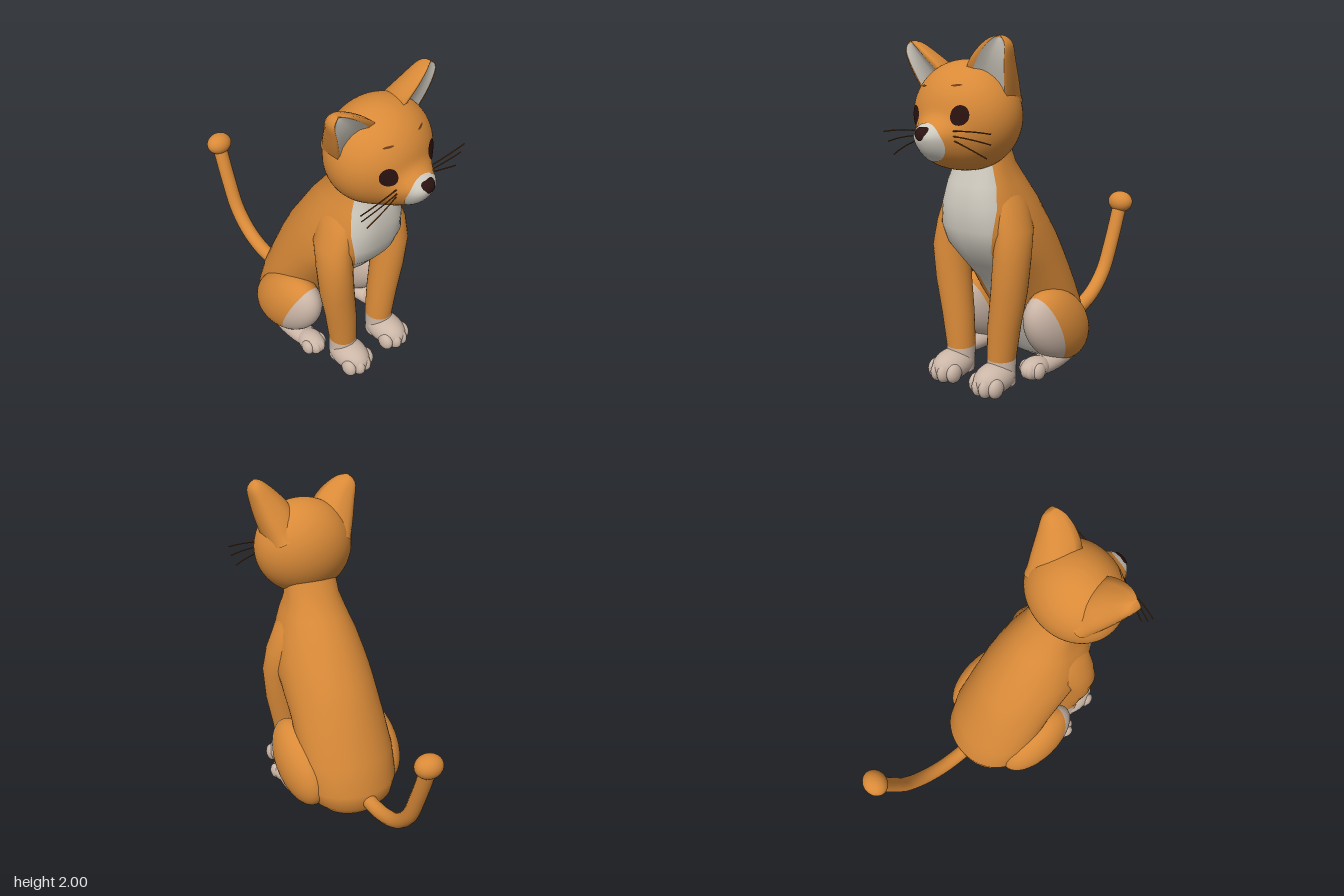
import * as THREE from 'three';

const mat = (name, color, side = THREE.FrontSide) => new THREE.MeshStandardMaterial({ name, color, side });
const fur = mat('orange fur', 0xd98a38, THREE.DoubleSide);
const bib = mat('pale bib', 0xcfcabf, THREE.DoubleSide);
const pawFur = mat('beige paw', 0xcbb6a7);
const dark = mat('dark brown', 0x2a1210, THREE.DoubleSide);
const whiskerMat = mat('whisker brown', 0x6b3c16);

function add(parent, name, geometry, material, x = 0, y = 0, z = 0) {
  const mesh = new THREE.Mesh(geometry, material);
  mesh.name = name;
  mesh.position.set(x, y, z);
  parent.add(mesh);
  return mesh;
}

// Skin through rows of [x, y, z] points; rows go up, points go anticlockwise.
function loft(rows, closed = false) {
  const n = rows[0].length, index = [];
  for (let r = 0; r < rows.length - 1; r++) {
    for (let j = 0; j < (closed ? n : n - 1); j++) {
      const k = (j + 1) % n, a = r * n, b = a + n;
      index.push(a + j, a + k, b + k, a + j, b + k, b + j);
    }
  }
  const g = new THREE.BufferGeometry();
  g.setAttribute('position', new THREE.Float32BufferAttribute(rows.flat(2), 3));
  g.setIndex(index);
  g.computeVertexNormals();
  return g;
}

const power = (v, p) => Math.sign(v) * Math.abs(v) ** p;

// Closed elliptical ring in a horizontal plane, starting at the front
function ring(x, y, z, rx, rz) {
  return Array.from({ length: 28 }, (_, i) => {
    const a = i / 28 * Math.PI * 2;
    return [x + rx * Math.sin(a), y, z + rz * Math.cos(a)];
  });
}

function ellipsoid(rx, ry, rz, w = 24, h = 16) {
  return new THREE.SphereGeometry(1, w, h).scale(rx, ry, rz);
}

// Torso: height, front z, back z, half width, half width of the bib
function buildTorso(g) {
  const rows = [
    [0.06, 0.12, -0.21, 0.20, 0.12], [0.12, 0.17, -0.255, 0.26, 0.11], [0.22, 0.22, -0.27, 0.295, 0.10],
    [0.4, 0.3, -0.21, 0.305, 0.10], [0.6, 0.43, -0.13, 0.295, 0.10], [0.72, 0.54, -0.08, 0.29, 0.12],
    [0.84, 0.63, -0.02, 0.285, 0.155], [0.95, 0.665, 0.05, 0.27, 0.185], [1.08, 0.67, 0.13, 0.24, 0.198],
    [1.2, 0.645, 0.22, 0.2, 0.175], [1.3, 0.6, 0.3, 0.17, 0.14], [1.42, 0.58, 0.36, 0.16, 0.11],
  ];
  const part = (from, to, n) => loft(rows.map(([y, front, back, w, bw]) => {
    // The chest is squarer than the back
    const p = 1 - 0.28 * THREE.MathUtils.smoothstep(y, 0.6, 1);
    const edge = Math.asin((bw / w) ** (1 / p)), a0 = from(edge), a1 = to(edge);
    return Array.from({ length: n + 1 }, (_, i) => {
      const a = a0 + (a1 - a0) * i / n, q = Math.cos(a) > 0 ? p : 1;
      return [w * power(Math.sin(a), q), y, (front + back) / 2 + (front - back) / 2 * power(Math.cos(a), q)];
    });
  }));
  add(g, 'torso', part(a => a, a => Math.PI * 2 - a, 48), fur);
  add(g, 'chestBib', part(a => -a, a => a, 18), bib);
  add(g, 'underside', loft([
    ring(0, 0.012, -0.04, 0.001, 0.001), ring(0, 0.02, -0.04, 0.12, 0.1), ring(0, 0.06, -0.045, 0.2, 0.165),
  ], true), pawFur);
}

function buildToes(g, x, y, z, spread, r) {
  for (let i = 0; i < 4; i++) {
    const t = i - 1.5;
    add(g, 'toe', ellipsoid(r, r * 1.6, r * 1.5, 14, 10), pawFur, x + t * spread, y, z - t * t * 0.014);
  }
}

function buildFrontLeg(g, s) {
  const leg = (list) => loft(list.map(([y, x, z, rx, rz]) => ring(s * x, y, z, rx, rz)), true);
  const ankle = [0.2, 0.155, 0.52, 0.083, 0.085];
  add(g, 'frontLeg', leg([
    ankle, [0.4, 0.175, 0.517, 0.095, 0.093], [0.6, 0.207, 0.512, 0.103, 0.103],
    [0.8, 0.225, 0.505, 0.1, 0.115], [0.95, 0.215, 0.473, 0.09, 0.127],
    [1.1, 0.178, 0.46, 0.066, 0.12], [1.22, 0.13, 0.45, 0.04, 0.07], [1.26, 0.12, 0.45, 0.001, 0.001],
  ]), fur);
  add(g, 'frontCuff', leg([[0.05, 0.157, 0.53, 0.085, 0.085], ankle]), pawFur);
  add(g, 'frontPaw', ellipsoid(0.1, 0.09, 0.145), pawFur, s * 0.158, 0.1, 0.585);
  buildToes(g, s * 0.158, 0.08, 0.69, 0.048, 0.036);
}

function buildHindLeg(g, s) {
  // Thigh: tilted ellipsoid whose front cap is pale
  const capAngle = 1.13;
  const thigh = new THREE.Group();
  thigh.name = 'thigh';
  const shell = (start, length) => new THREE.SphereGeometry(1, 32, 16, 0, Math.PI * 2, start, length)
    .rotateX(Math.PI / 2 + 0.86).scale(0.14, 0.2, 0.295);
  add(thigh, 'kneePatch', shell(0, capAngle), pawFur);
  add(thigh, 'thighFur', shell(capAngle, Math.PI - capAngle), fur);
  thigh.position.set(s * 0.27, 0.31, 0.157);
  thigh.rotation.x = -0.66;
  g.add(thigh);
  // Long flat foot
  add(g, 'hindFoot', ellipsoid(0.075, 0.062, 0.24), pawFur, s * 0.27, 0.11, 0.22);
  add(g, 'hindPaw', ellipsoid(0.073, 0.066, 0.1), pawFur, s * 0.275, 0.115, 0.37);
  buildToes(g, s * 0.278, 0.115, 0.428, 0.034, 0.03);
}

function buildTail(g) {
  const path = new THREE.CatmullRomCurve3([
    [0, 0.17, -0.18], [0, 0.155, -0.3], [0, 0.165, -0.42], [0.005, 0.225, -0.57],
    [0.01, 0.35, -0.7], [0.015, 0.54, -0.79], [0.02, 0.78, -0.88],
  ].map(p => new THREE.Vector3(...p)));
  add(g, 'tail', new THREE.TubeGeometry(path, 40, 0.047, 16), fur);
  add(g, 'tailTip', ellipsoid(0.085, 0.07, 0.073), fur, 0.022, 0.8, -0.882);
}

// Front surface of the head: an ellipsoid with a blunt muzzle bulge
const HEAD = { x: 0.31, y: 0.295, z: 0.265 };
function faceZ(x, y) {
  const z = HEAD.z * Math.sqrt(Math.max(0, 1 - (x / HEAD.x) ** 2 - (y / HEAD.y) ** 2));
  const dy = y + 0.09, sy = dy > 0 ? 0.09 : 0.2;
  const q = (x / 0.13) ** 2 + (dy / sy) ** 2;
  return z + 0.11 * Math.exp(-(q ** 1.5)) * Math.min(1, z / 0.15);
}

// Thin patch that follows the face
function facePatch(cx, cy, rx, ry, lift, shape = () => 1) {
  const rows = [];
  for (let k = 6; k >= 0; k--) {
    rows.push(Array.from({ length: 32 }, (_, j) => {
      const a = j / 32 * Math.PI * 2, r = shape(a) * k / 6;
      const x = cx + rx * r * Math.cos(a), y = cy + ry * r * Math.sin(a);
      return [x, y, faceZ(x, y) + lift];
    }));
  }
  return loft(rows, true);
}

// Cupped ear: round back, orange rim and a pale hollow lining turned outwards
function buildEar(head, s) {
  const curve = pts => new THREE.SplineCurve(pts.map(p => new THREE.Vector2(...p)));
  const inner = curve([[0.06, 0.18], [0.105, 0.27], [0.18, 0.342], [0.26, 0.396], [0.32, 0.41]]);
  const outer = curve([[0.27, 0.04], [0.312, 0.16], [0.342, 0.27], [0.358, 0.36], [0.32, 0.41]]);
  const front = [], back = [];
  for (let i = 0; i <= 14; i++) {
    const t = i / 14, a = inner.getPoint(t), b = outer.getPoint(t);
    const z = 0.065 + 0.035 * Math.sin(Math.PI * t), depth = 0.21 * (1 - t) ** 0.6;
    const at = (u, dz) => [s * (a.x + (b.x - a.x) * u), a.y + (b.y - a.y) * u, z - 0.08 * (1 - t) * u - dz];
    const f = [0, 0.16, 0.3, 0.45, 0.62, 0.78, 0.93, 1].map((u, k) =>
      at(u, k < 2 || k > 5 ? 0 : 0.15 * depth * Math.sin(Math.PI * u)));
    const shell = [f[6], f[7]];
    for (let j = 1; j < 16; j++) {
      const c = Math.PI * j / 16;
      shell.push(at(0.5 + 0.5 * power(Math.cos(c), 0.78), depth * power(Math.sin(c), 0.78)));
    }
    shell.push(f[0], f[1]);
    const lining = f.slice(1, 7);
    front.push(s > 0 ? lining : lining.reverse());
    back.push(s > 0 ? shell : shell.reverse());
  }
  add(head, 'earLining', loft(front.slice(0, 13)), bib);
  add(head, 'earTipFront', loft(front.slice(12)), fur);
  add(head, 'ear', loft(back), fur);
}

function buildHead(g) {
  const head = new THREE.Group();
  head.name = 'head';
  head.position.set(-0.01, 1.57, 0.58);
  head.rotation.z = 0.09;
  g.add(head);

  const skull = new THREE.SphereGeometry(1, 64, 48).scale(HEAD.x, HEAD.y, HEAD.z);
  const p = skull.attributes.position;
  for (let i = 0; i < p.count; i++) {
    if (p.getZ(i) > 0.001) p.setZ(i, faceZ(p.getX(i), p.getY(i)));
  }
  skull.computeVertexNormals();
  add(head, 'skull', skull, fur);
  add(head, 'muzzle', facePatch(-0.003, -0.105, 0.104, 0.104, 0.005), bib);
  add(head, 'nose', facePatch(0, -0.048, 0.042, 0.034, 0.01, a => 1 + 0.14 * Math.cos(3 * a - Math.PI / 2)), dark);

  for (const s of [-1, 1]) {
    buildEar(head, s);
    add(head, 'eye', facePatch(s * 0.156, 0.027, 0.044, 0.051, 0.005), dark);
    add(head, 'eyebrow', facePatch(s * 0.115, 0.175, 0.028, 0.005, 0.003), whiskerMat);
    // Whiskers: root height, end x, end y, end z
    for (const [y0, x1, y1, z1] of [[-0.05, 0.385, -0.06, 0.26], [-0.075, 0.37, -0.115, 0.25], [-0.1, 0.335, -0.185, 0.25]]) {
      const root = new THREE.Vector3(s * 0.13, y0, faceZ(0.13, y0) - 0.005);
      const end = new THREE.Vector3(s * x1, y1, z1);
      const mid = root.clone().lerp(end, 0.5).add(new THREE.Vector3(0, 0.012, 0.015));
      add(head, 'whisker', new THREE.TubeGeometry(new THREE.QuadraticBezierCurve3(root, mid, end), 10, 0.0035, 6), whiskerMat);
    }
  }
}

export function createModel() {
  const g = new THREE.Group();
  g.name = 'sittingCat';
  buildTorso(g);
  for (const s of [-1, 1]) {
    buildFrontLeg(g, s);
    buildHindLeg(g, s);
  }
  buildTail(g);
  buildHead(g);
  return g;
}
